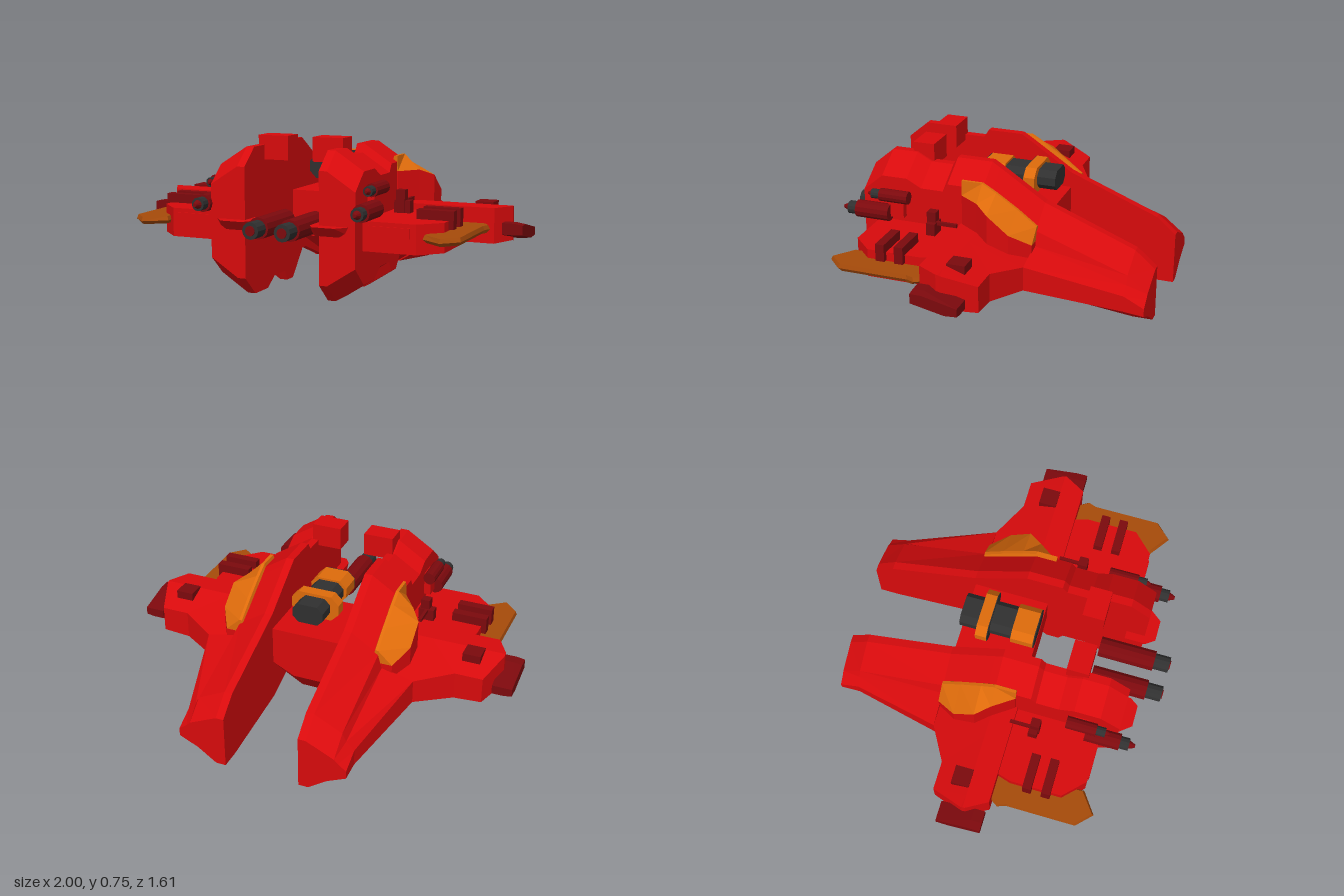
import * as THREE from 'three';

const mat = (name, color) => Object.assign(new THREE.MeshStandardMaterial({ color }), { name });

// Skin matching rings of [x, y, z] points with flat faces and fan caps, facing outwards.
function loft(rings) {
  const tris = [], n = rings[0].length;
  for (let i = 0; i < rings.length - 1; i++) {
    const a = rings[i], b = rings[i + 1];
    for (let j = 0; j < n; j++) {
      const k = (j + 1) % n;
      tris.push([a[j], b[j], b[k]], [a[j], b[k], a[k]]);
    }
  }
  const first = rings[0], last = rings[rings.length - 1];
  for (let j = 1; j < n - 1; j++) {
    tris.push([first[0], first[j], first[j + 1]], [last[0], last[j + 1], last[j]]);
  }
  let volume = 0;
  for (const [a, b, c] of tris) {
    volume += a[0] * (b[1] * c[2] - b[2] * c[1]) + a[1] * (b[2] * c[0] - b[0] * c[2]) + a[2] * (b[0] * c[1] - b[1] * c[0]);
  }
  const pos = tris.flatMap(([a, b, c]) => (volume < 0 ? [a, c, b] : [a, b, c]).flat());
  const g = new THREE.BufferGeometry();
  g.setAttribute('position', new THREE.Float32BufferAttribute(pos, 3));
  g.computeVertexNormals();
  return g;
}

// Box given by its limits.
function box(x0, x1, y0, y1, z0, z1) {
  return new THREE.BoxGeometry(x1 - x0, y1 - y0, z1 - z0).translate((x0 + x1) / 2, (y0 + y1) / 2, (z0 + z1) / 2);
}

// Tube or cone along z.
function rod(x, y, z0, z1, r0, r1 = r0, sides = 12) {
  return new THREE.CylinderGeometry(r1, r0, z1 - z0, sides).rotateX(Math.PI / 2).translate(x, y, (z0 + z1) / 2);
}

// Upright prism from an [x, z] outline.
const prism = (outline, y0, y1) => loft([y0, y1].map((y) => outline.map(([x, z]) => [x, y, z])));

// Eight-sided block along z, chamfered on its corners.
function octBlock(w, y0, y1, z0, z1, c) {
  const o = [[w - c, y0], [w, y0 + c], [w, y1 - c], [w - c, y1], [c - w, y1], [-w, y1 - c], [-w, y0 + c], [c - w, y0]];
  return loft([z1, z0].map((z) => o.map(([x, y]) => [x, y, z])));
}

// Mirrored copy with its winding restored.
function mirrored(geometry) {
  const g = geometry.index ? geometry.toNonIndexed() : geometry.clone();
  g.scale(-1, 1, 1);
  const p = g.attributes.position;
  for (let i = 0; i < p.count; i += 3) {
    const b = [p.getX(i + 1), p.getY(i + 1), p.getZ(i + 1)];
    p.setXYZ(i + 1, p.getX(i + 2), p.getY(i + 2), p.getZ(i + 2));
    p.setXYZ(i + 2, ...b);
  }
  return g;
}

export function createModel() {
  const model = new THREE.Group();
  model.name = 'spacecraft';
  const red = mat('red', 0xd80a0c);
  const darkRed = mat('dark red', 0x7c090d);
  const orange = mat('orange', 0xde6b0b);
  const bronze = mat('bronze', 0xa74b0a);
  const charcoal = mat('charcoal', 0x303030);

  const add = (name, geometry, material) => {
    const g = geometry.index ? geometry.toNonIndexed() : geometry;
    g.computeVertexNormals();
    const mesh = new THREE.Mesh(g, material);
    mesh.name = name;
    model.add(mesh);
  };
  const pair = (name, geometry, material) => {
    add(name + 'Left', geometry, material);
    add(name + 'Right', mirrored(geometry), material);
  };

  // Twin hulls: [z, bottom, top] stations
  const hull = [
    [0.645, 0.09, 0.62], [0.545, 0, 0.705], [0.415, 0, 0.705], [0.34, 0.05, 0.665], [0.225, 0.05, 0.665],
    [0.2, 0, 0.705], [0.135, 0, 0.705], [0.02, 0.135, 0.705], [-0.02, 0.135, 0.68], [-0.25, 0.05, 0.53],
  ];
  pair('hull', loft(hull.map(([z, b, t]) => [
    [0.19, b, z], [0.23, b, z], [0.37, b + 0.09, z], [0.37, t - 0.09, z], [0.23, t, z], [0.19, t, z],
  ])), red);

  // Long tails: [z, width, bottom, keel edge, lower side, upper side, ledge, shoulder, top]
  const tail = [
    [-0.25, 0.55, 0.05, 0.11, 0.21, 0.33, 0.37, 0.44, 0.53],
    [-0.705, 0.43, 0, 0.08, 0.12, 0.2, 0.24, 0.28, 0.35],
    [-0.805, 0.43, 0, 0.07, 0.11, 0.15, 0.18, 0.2, 0.265],
  ];
  pair('tail', loft(tail.map(([z, w, b, k, l, u, m, s, t]) => [
    [0.19, b, z], [0.24, b, z], [0.34, k, z], [w, l, z], [w, u, z], [0.39, m, z], [0.37, s, z], [0.23, t, z], [0.19, t, z],
  ])), red);

  // Shoulders capped with solid orange armour: [z, outer x, inner top, outer top]
  const shoulder = [
    [0.125, 0.374, 0.645, 0.57], [0.02, 0.447, 0.645, 0.57], [-0.05, 0.5, 0.605, 0.54],
    [-0.157, 0.5, 0.535, 0.455], [-0.255, 0.442, 0.462, 0.395],
  ];
  pair('shoulder', loft(shoulder.map(([z, x, , o]) => [[0.3, 0.3, z], [x, 0.3, z], [x, o, z], [0.3, o, z]])), red);
  pair('shoulderArmour', loft(shoulder.map(([z, x, i, o]) => [[0.33, o, z], [x, o, z], [0.37, i, z], [0.355, i, z]])), orange);

  // Rear wings: [x, front z, ridge z, rear z, front bottom, top, rear top, rear bottom]
  const wing = [
    [0.3, 0.135, 0.02, -0.25, 0.25, 0.42, 0.33, 0.21],
    [0.55, 0.135, 0.02, -0.25, 0.25, 0.42, 0.33, 0.21],
    [0.725, 0.135, 0.02, -0.15, 0.25, 0.42, 0.36, 0.22],
    [0.865, 0.135, 0.02, -0.15, 0.25, 0.42, 0.36, 0.23],
    [0.925, 0.03, 0.02, 0.01, 0.255, 0.42, 0.415, 0.25],
  ];
  pair('wing', loft(wing.map(([x, f, m, r, fb, t, rt, rb]) => [[x, fb, f], [x, t, f], [x, t, m], [x, rt, r], [x, rb, r]])), red);
  pair('wingFront', prism([[0.3, 0.1], [0.7, 0.1], [0.73, 0.2], [0.73, 0.46], [0.63, 0.56], [0.3, 0.56]], 0.25, 0.39), red);
  pair('wingFrontPanel', box(0.4, 0.6, 0.32, 0.37, 0.555, 0.566), red);
  pair('wingHatch', box(0.735, 0.825, 0.38, 0.43, -0.07, 0.02), darkRed);
  for (const z of [0.29, 0.385]) pair('wingBar', box(0.575, 0.755, 0.35, 0.435, z - 0.022, z + 0.022), darkRed);

  // Wing tip pods
  const pod = [[0.35, 0.125], [0.35, 0.07], [0.305, -0.1], [0.26, -0.1], [0.255, -0.04], [0.295, 0.125]];
  pair('tipPod', loft([[0.9, 1], [0.96, 1], [1, 0.85]].map(([x, s]) =>
    pod.map(([y, z]) => [x, 0.305 + (y - 0.305) * s, z]))), darkRed);

  // Bronze blades, slightly bevelled above and below
  const blade = [[0.82, 0.115], [0.855, 0.17], [0.84, 0.21], [0.84, 0.56], [0.765, 0.635], [0.66, 0.56], [0.68, 0.2], [0.7, 0.12]];
  pair('blade', loft([[0.308, 0.86], [0.325, 1], [0.345, 0.92]].map(([y, s]) =>
    blade.map(([x, z]) => [0.765 + (x - 0.765) * s, y, 0.375 + (z - 0.375) * (s + 1) / 2]))), bronze);

  // Bridge between the hulls: [z, keel height]
  const bridge = [[0.13, 0.22], [0.02, 0.135], [-0.03, 0.13], [-0.14, 0.08], [-0.25, 0.2]];
  add('bridge', loft(bridge.map(([z, b]) => [
    [-0.08, b, z], [0.08, b, z], [0.2, 0.26, z], [0.2, 0.45, z], [-0.2, 0.45, z], [-0.2, 0.26, z],
  ])), red);

  // Floating core above the bridge
  add('coreShaft', octBlock(0.08, 0.525, 0.625, -0.25, 0.125, 0.03), charcoal);
  add('coreRing', octBlock(0.125, 0.51, 0.64, -0.157, -0.1, 0.04), orange);
  add('coreRingFace', octBlock(0.123, 0.512, 0.638, -0.1, -0.096, 0.04), charcoal);
  add('coreCollar', octBlock(0.095, 0.515, 0.635, 0.015, 0.128, 0.035), orange);
  add('coreCap', octBlock(0.094, 0.516, 0.634, 0.128, 0.133, 0.035), charcoal);

  // Hull fittings
  pair('topBlock', box(0.065, 0.22, 0.635, 0.752, 0.33, 0.44), red);
  const shelf = [[0.15, 0.55], [0.34, 0.55], [0.34, 0.64], [0.29, 0.703], [0.18, 0.703], [0.15, 0.66]];
  pair('noseShelf', loft([[0.318, 0.6], [0.37, 1]].map(([y, s]) => shelf.map(([x, z]) => [x, y, 0.55 + (z - 0.55) * s]))), red);
  pair('sideBox', box(0.41, 0.49, 0.37, 0.45, 0.22, 0.265), darkRed);
  pair('sidePost', box(0.42, 0.465, 0.37, 0.5, 0.225, 0.27), darkRed);
  pair('sidePipe', box(0.445, 0.46, 0.435, 0.452, 0.12, 0.23), darkRed);
  pair('gunMount', box(0.35, 0.405, 0.42, 0.54, 0.42, 0.5), red);

  // Main cannons
  pair('cannon', rod(0.08, 0.35, 0.44, 0.725, 0.052), darkRed);
  pair('cannonMuzzle', rod(0.08, 0.35, 0.725, 0.803, 0.041), charcoal);
  pair('cannonBore', rod(0.08, 0.35, 0.8, 0.808, 0.024), darkRed);

  // Stacked side guns: [y, start, muzzle start, muzzle end, tip, radius]
  for (const [y, a, b, c, d, r] of [[0.53, 0.39, 0.54, 0.585, 0.605, 0.032], [0.44, 0.49, 0.665, 0.71, 0.74, 0.043]]) {
    pair('sideGun', rod(0.405, y, a, b, r), darkRed);
    pair('sideGunMuzzle', rod(0.405, y, b, c, r * 0.75), charcoal);
    pair('sideGunTip', rod(0.405, y, c, d, r * 0.5, r * 0.2), darkRed);
  }
  return model;
}
